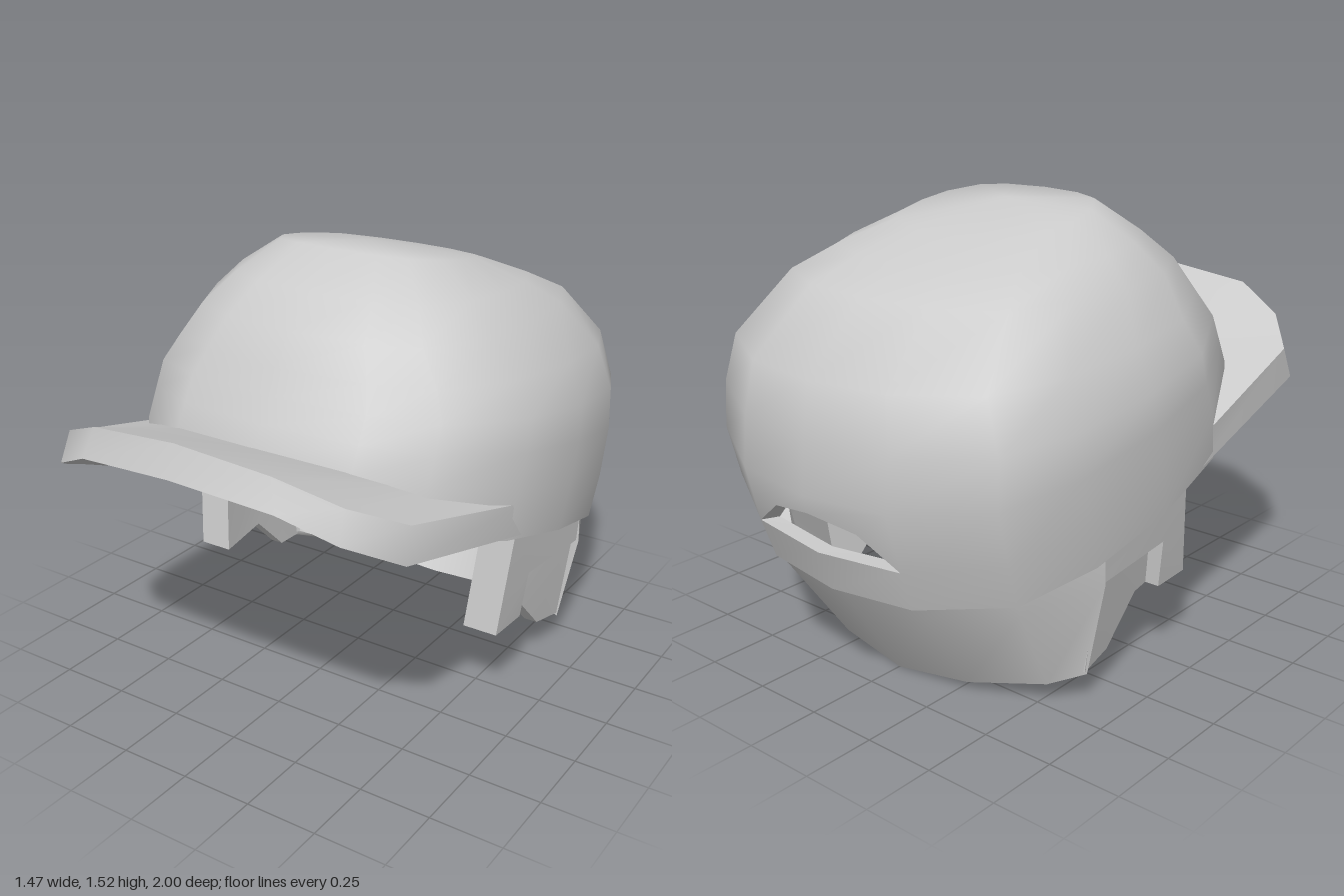
import * as THREE from 'three';
import { toCreasedNormals } from 'three/addons/utils/BufferGeometryUtils.js';

const grey = new THREE.MeshStandardMaterial({ color: 0xcccccc, side: THREE.DoubleSide });

// Collects triangles and quads, then makes a mesh with smooth faces and sharp edges.
class Builder {
  constructor() { this.p = []; }
  tri(a, b, c) { this.p.push(...a, ...b, ...c); }
  quad(a, b, c, d) { this.tri(a, b, c); this.tri(a, c, d); }
  mesh(name, crease) {
    const g = new THREE.BufferGeometry();
    g.setAttribute('position', new THREE.Float32BufferAttribute(this.p, 3));
    return makeMesh(name, g, crease);
  }
}

function makeMesh(name, geometry, crease) {
  const m = new THREE.Mesh(toCreasedNormals(geometry, crease), grey);
  m.name = name;
  return m;
}

// Joins closed cross-sections one after another and caps both ends.
function loft(name, sections, crease) {
  const b = new Builder(), n = sections[0].length;
  for (let i = 0; i < sections.length - 1; i++) {
    const s = sections[i], t = sections[i + 1];
    for (let k = 0; k < n; k++) b.quad(s[k], t[k], t[(k + 1) % n], s[(k + 1) % n]);
  }
  const s = sections[0], e = sections[sections.length - 1];
  for (let k = 0; k < n / 2 - 1; k++) {
    b.quad(s[k], s[k + 1], s[n - 2 - k], s[n - 1 - k]);
    b.quad(e[n - 1 - k], e[n - 2 - k], e[k + 1], e[k]);
  }
  return b.mesh(name, crease);
}

const flip = (section) => section.map(([x, y, z]) => [-x, y, z]);

// Plan outline of the crown from front to back, as fractions of width and depth.
const half = [[0, 1], [0.46, 0.95], [0.75, 0.82], [0.955, 0.42], [1, 0],
  [0.96, -0.42], [0.82, -0.75], [0.43, -0.95], [0, -1]];
const plan = [...half, ...half.slice(1, -1).reverse().map(([x, z]) => [-x, z])];

// Tilted crown levels: front z, front y, back z, back y, half width.
const levels = [
  [0.63, 0.80, -0.90, 0.39, 0.722],
  [0.60, 0.97, -0.95, 0.53, 0.735],
  [0.555, 1.05, -1.0, 0.73, 0.735],
  [0.51, 1.13, -0.985, 0.90, 0.73],
  [0.46, 1.21, -0.96, 1.08, 0.67],
  [0.40, 1.31, -0.74, 1.29, 0.575],
  [0.28, 1.41, -0.57, 1.36, 0.48],
  [0.14, 1.52, -0.38, 1.43, 0.33],
];

function crownRings(inset) {
  return levels.map(([zf, yf, zb, yb, w], i) => plan.map(([px, pz]) => {
    const t = (1 - pz) / 2, f = zf - inset, r = zb + inset;
    const drop = i > 3 ? inset * (i - 3) / 4 : 0;
    return [px * (w - inset), yf + (yb - yf) * t - drop, f + (r - f) * t];
  }));
}

function crown() {
  const b = new Builder(), n = plan.length, slots = [];
  const skins = [0, 0.06].map((inset) => {
    const rings = crownRings(inset);
    const quad = (p, q, r, s) => (inset ? b.quad(s, r, q, p) : b.quad(p, q, r, s));
    const tri = (p, q, r) => (inset ? b.tri(r, q, p) : b.tri(p, q, r));
    for (let i = 0; i < rings.length - 1; i++) for (let j = 0; j < n; j++) {
      if (i === 1 && (j === 7 || j === 8)) continue;
      const k = (j + 1) % n;
      quad(rings[i][j], rings[i][k], rings[i + 1][k], rings[i + 1][j]);
    }
    const top = rings[rings.length - 1];
    for (let j = 0; j < n; j++) tri(top[j], top[(j + 1) % n], [0, 1.51 - inset, -0.06]);
    // Rear slot, cut between the second and third levels
    const [lo, hi] = [rings[1], rings[2]];
    const a = [0.18, 0.64, -0.955 + inset], m = [0, 0.67, -0.985 + inset], c = [-0.18, 0.64, -0.955 + inset];
    tri(lo[7], a, hi[7]);
    quad(a, m, hi[8], hi[7]);
    quad(m, c, hi[9], hi[8]);
    tri(c, lo[9], hi[9]);
    slots.push([lo[7], lo[8], lo[9], c, m, a]);
    return rings;
  });
  // Bottom edge and slot walls
  for (let j = 0; j < n; j++) {
    const k = (j + 1) % n;
    b.quad(skins[0][0][k], skins[0][0][j], skins[1][0][j], skins[1][0][k]);
  }
  for (let j = 0; j < 6; j++) {
    const k = (j + 1) % 6;
    b.quad(slots[0][j], slots[0][k], slots[1][k], slots[1][j]);
  }
  return b.mesh('crown', 0.95);
}

// Sections run inner top, outer top, outer bottom, inner bottom.
function brim() {
  const side = [
    [[0.66, 0.785, 0.11], [0.70, 0.785, 0.11], [0.70, 0.665, 0.08], [0.58, 0.655, 0.09]],
    [[0.53, 0.90, 0.43], [0.645, 0.94, 0.71], [0.655, 0.83, 0.75], [0.54, 0.665, 0.22]],
    [[0.45, 0.93, 0.49], [0.52, 1.02, 0.86], [0.53, 0.92, 0.90], [0.45, 0.715, 0.37]],
    [[0.33, 0.96, 0.54], [0.33, 1.10, 0.94], [0.36, 1.00, 0.97], [0.35, 0.765, 0.48]],
  ];
  const middle = [[0, 0.975, 0.57], [0, 1.13, 0.96], [0, 1.03, 1.0], [0, 0.782, 0.53]];
  return loft('brim', [...side, middle, ...side.map(flip).reverse()], 0.65);
}

// Sections run down the outside and back up the inside.
function neckGuard() {
  const side = [
    [[0.68, 0.57, -0.40], [0.685, 0.43, -0.40], [0.62, 0.10, -0.40],
      [0.55, 0.13, -0.40], [0.61, 0.43, -0.40], [0.61, 0.57, -0.40]],
    [[0.57, 0.48, -0.69], [0.57, 0.39, -0.67], [0.53, 0.07, -0.49],
      [0.48, 0.10, -0.45], [0.52, 0.39, -0.62], [0.51, 0.48, -0.64]],
    [[0.32, 0.43, -0.85], [0.32, 0.355, -0.81], [0.28, 0.03, -0.59],
      [0.27, 0.06, -0.54], [0.30, 0.355, -0.75], [0.30, 0.43, -0.79]],
  ];
  const middle = [[0, 0.42, -0.88], [0, 0.34, -0.84], [0, 0, -0.62],
    [0, 0.03, -0.57], [0, 0.34, -0.78], [0, 0.42, -0.82]];
  return loft('neckGuard', [...side.map(flip), middle, ...[...side].reverse()], 0.9);
}

// Extrudes a side outline (z, y) sideways, leaning in at the bottom and flaring out to the rear.
function sidePlate(name, outline, x0, x1, side, flare) {
  const shape = new THREE.Shape(outline.map(([z, y]) => new THREE.Vector2(z, y)));
  const g = new THREE.ExtrudeGeometry(shape, { depth: x1 - x0, bevelEnabled: false });
  g.rotateY(-Math.PI / 2).translate(side > 0 ? x1 : -x0, 0, 0);
  const p = g.attributes.position;
  for (let i = 0; i < p.count; i++) {
    const lean = 1 - 0.3 * (0.66 - p.getY(i)) ** 2;
    p.setX(i, (p.getX(i) + side * flare * (0.12 - p.getZ(i))) * lean);
  }
  return makeMesh(name, g, 0.5);
}

export function createModel() {
  const model = new THREE.Group();
  model.name = 'helmet';
  model.add(crown(), brim(), neckGuard());
  const panel = [[0.07, 0.66], [0.12, 0.28], [-0.12, 0.28], [-0.27, 0.13], [-0.41, 0.11], [-0.41, 0.57]];
  const strap = [[0.07, 0.66], [0.12, 0.28], [-0.04, 0.28], [-0.05, 0.45], [-0.40, 0.43], [-0.40, 0.57]];
  for (const side of [1, -1]) {
    const ear = new THREE.Group();
    ear.name = side > 0 ? 'leftEarGuard' : 'rightEarGuard';
    ear.add(sidePlate('earPanel', panel, 0.53, 0.585, side, 0.18));
    ear.add(sidePlate('earStrap', strap, 0.575, 0.66, side, 0.05));
    model.add(ear);
  }
  return model;
}
